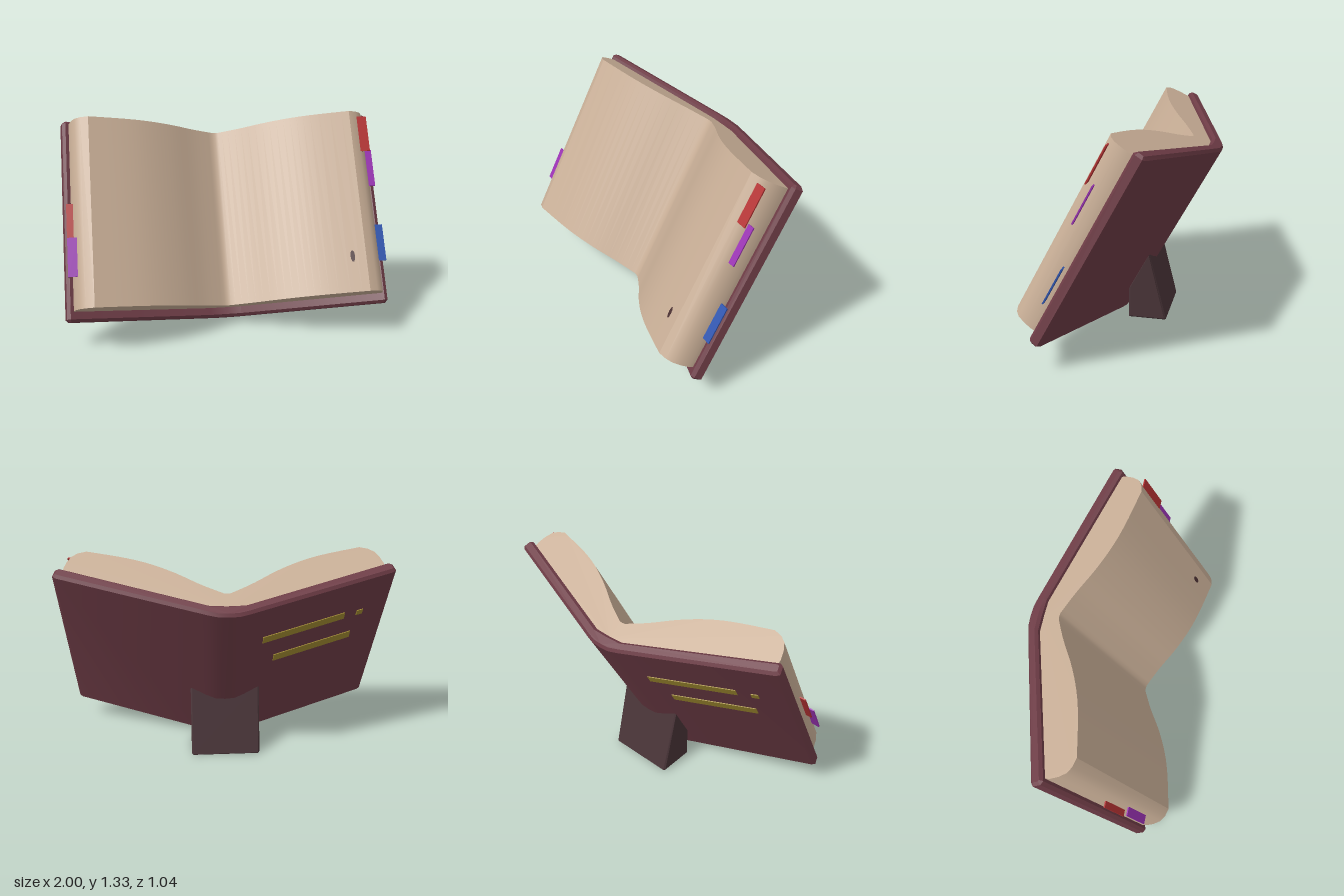
import * as THREE from 'three';
import { toCreasedNormals } from 'three/addons/utils/BufferGeometryUtils.js';

const mat = (name, color) => {
  const m = new THREE.MeshStandardMaterial({ color });
  m.name = name;
  return m;
};

export function createModel() {
  const coverRed = mat('maroon cover', 0x6e3c46);
  const paper = mat('aged paper', 0xc8ae96);
  const standBrown = mat('dark stand', 0x493438);
  const red = mat('red tab', 0xb53233);
  const purple = mat('purple tab', 0x9a32b4);
  const blue = mat('blue tab', 0x3056b0);
  const gold = mat('gold foil', 0xa08a30);
  const ink = mat('ink', 0x4a3032);

  const model = new THREE.Group();
  model.name = 'openBook';
  // Book space: y runs along the spine, z points out of the pages
  const book = new THREE.Group();
  book.name = 'book';
  book.rotation.x = THREE.MathUtils.degToRad(-28.6);
  book.position.z = 0.07;
  model.add(book);

  const add = (parent, name, geometry, material) => {
    const mesh = new THREE.Mesh(geometry, material);
    mesh.name = name;
    parent.add(mesh);
    return mesh;
  };

  // Closed outline from front and back half-profiles (x from 0 outward), mirrored
  const outline = (back, front) => {
    const half = [...back, ...front.slice().reverse()];
    const other = half.slice(1, -1).reverse().map(([x, y]) => [-x, y]);
    return new THREE.Shape([...half, ...other].map(([x, y]) => new THREE.Vector2(x, y)));
  };

  // Extrudes an outline along the spine between two heights
  const along = (shape, low, high, bevel, crease) => {
    const g = new THREE.ExtrudeGeometry(shape, {
      depth: high - low - 2 * bevel,
      bevelEnabled: bevel > 0,
      bevelSize: bevel,
      bevelThickness: bevel,
      bevelOffset: -bevel,
      bevelSegments: 1,
    });
    g.rotateX(Math.PI / 2).translate(0, high - bevel, 0);
    return toCreasedNormals(g, crease);
  };

  // Cover with rounded spine and bevelled edges
  add(book, 'cover', along(outline(
    [[0, 0], [0.06, 0.003], [0.12, 0.02], [0.16, 0.034], [0.982, 0.319], [1, 0.335]],
    [[0, 0.083], [0.1, 0.086], [0.965, 0.392], [0.987, 0.38]],
  ), 0, 1.25, 0.016, 0.5), coverRed);

  // Page block: curved leaves falling into the gutter, worn outer edges
  const leaf = new THREE.SplineCurve([
    [0.02, 0.197], [0.15, 0.268], [0.3, 0.365], [0.45, 0.442], [0.6, 0.495], [0.82, 0.55],
  ].map(([x, y]) => new THREE.Vector2(x, y))).getPoints(18).map((p) => [p.x, p.y]);
  add(book, 'pages', along(outline(
    [[0, 0.078], [0.1, 0.081], [0.947, 0.38]],
    [[0, 0.195], ...leaf, [0.87, 0.536], [0.905, 0.51], [0.93, 0.465], [0.945, 0.415]],
  ), 0.06, 1.215, 0, 0.5), paper);

  // Index tabs: x range, spine range, depth
  const tabs = [
    ['leftUpperTab', red, 0.85, 0.935, 0.95, 1.182, 0.53],
    ['leftMiddleTab', purple, 0.91, 0.956, 0.73, 0.967, 0.49],
    ['leftLowerTab', blue, 0.935, 0.995, 0.26, 0.492, 0.42],
    ['rightUpperTab', red, -0.97, -0.928, 0.46, 0.695, 0.46],
    ['rightLowerTab', purple, -0.967, -0.905, 0.25, 0.482, 0.495],
  ];
  for (const [name, material, x0, x1, y0, y1, z] of tabs) {
    add(book, name, new THREE.BoxGeometry(x1 - x0, y1 - y0, 0.008), material)
      .position.set((x0 + x1) / 2, (y0 + y1) / 2, z);
  }

  // Small ink spot on one page
  const spot = add(book, 'inkSpot', new THREE.CircleGeometry(0.014, 10).scale(1, 2.6, 1), ink);
  spot.position.set(0.74, 0.28, 0.534);
  spot.rotation.y = -0.24;

  // Plain gold bars on the outside of one cover board
  const slope = 0.347;
  const bars = [[0.21, 0.72, 0.96, 0.055], [0.8, 0.84, 0.95, 0.04], [0.29, 0.79, 0.75, 0.06]];
  for (const [a, b, y, h] of bars) {
    const c = (a + b) / 2;
    const bar = add(book, 'goldBar', new THREE.BoxGeometry((b - a) * 1.06, h, 0.008), gold);
    bar.position.set(-c, y, 0.034 + slope * (c - 0.16) - 0.001);
    bar.rotation.y = Math.atan(slope);
  }

  // Wedge stand, its sloped top buried in the spine
  const wedge = new THREE.Shape(
    [[0.02, 0.005], [0.02, 0.217], [-0.11, 0.452], [-0.22, 0.012], [-0.213, 0.005]]
      .map(([z, y]) => new THREE.Vector2(-z, y)),
  );
  const standGeometry = new THREE.ExtrudeGeometry(wedge, {
    depth: 0.42, bevelSize: 0.01, bevelThickness: 0.01, bevelOffset: -0.01, bevelSegments: 1,
  });
  standGeometry.translate(0, 0, -0.21).rotateY(Math.PI / 2);
  add(model, 'stand', standGeometry, standBrown);

  return model;
}
